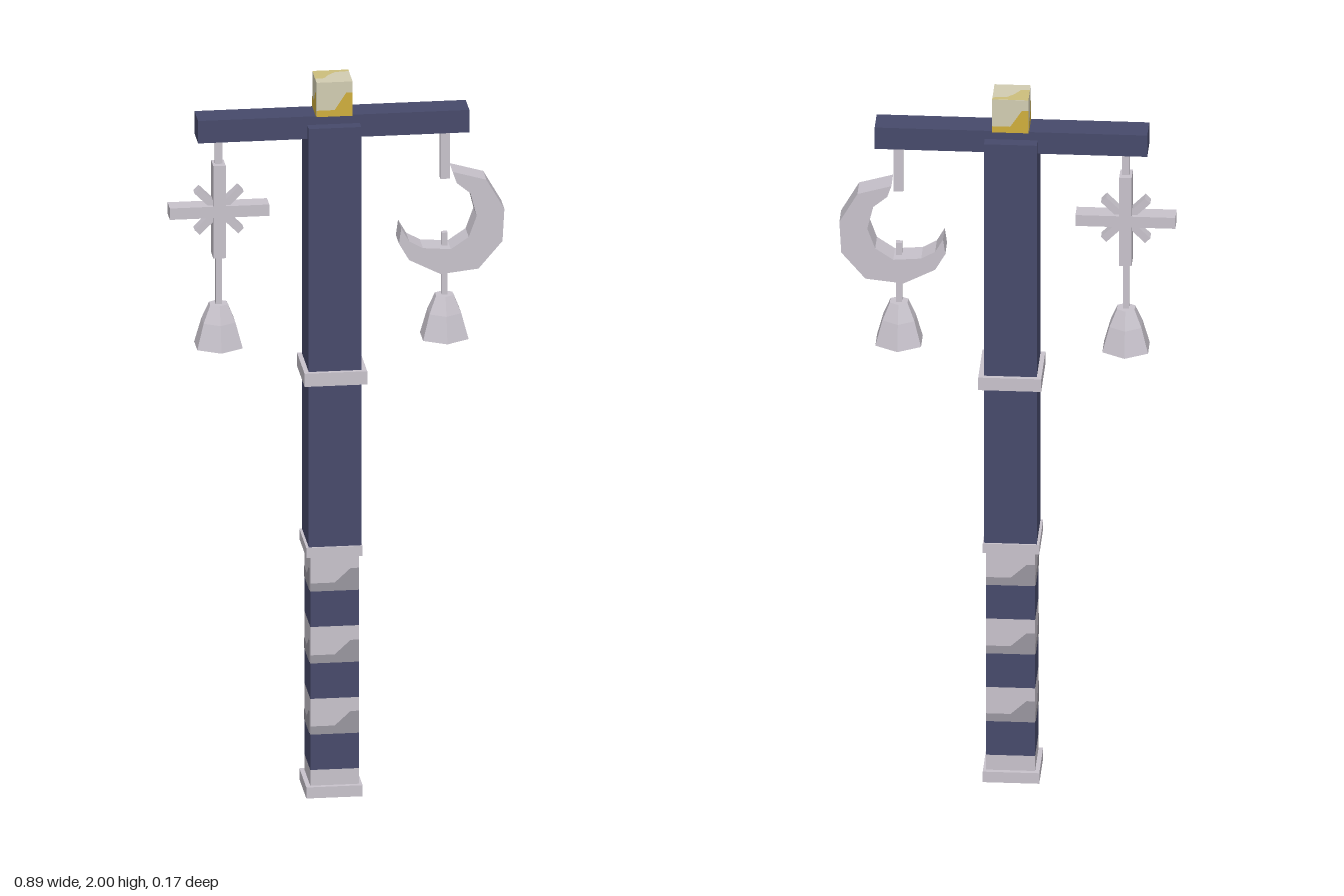
import * as THREE from 'three';

export function createModel() {
  const root = new THREE.Group();
  const mat = (name, color) => {
    const m = new THREE.MeshStandardMaterial({ color, flatShading: true });
    m.name = name;
    return m;
  };
  const navy = mat('navy', 0x474a6b);
  const silver = mat('silver', 0xc8c3cc);
  const grey = mat('shadedSilver', 0x99969f);
  const gold = mat('gold', 0xcfae3c);
  const pale = mat('paleGold', 0xd2cdb2);
  const straw = mat('straw', 0xcdbf7c);

  const CX = -0.014; // post axis
  function add(name, geo, material, x = 0, y = 0, z = 0, parent = root) {
    const m = new THREE.Mesh(geo, material);
    m.name = name;
    m.position.set(x, y, z);
    parent.add(m);
    return m;
  }
  // Box standing between two heights
  const block = (name, material, x, y0, y1, w, d, parent = root) =>
    add(name, new THREE.BoxGeometry(w, y1 - y0, d), material, x, (y0 + y1) / 2, 0, parent);
  const shapeOf = pts => new THREE.Shape(pts.map(p => new THREE.Vector2(...p)));

  // Painted stepped patch along the foot of each side of a square block
  function steppedPaint(name, material, x, y, w, d, heights) {
    heights.forEach(([a, b], i) => {
      const width = i % 2 ? d : w, h = width / 2;
      const pts = [[-h, 0], [h, 0], [h, b], [h * 0.65, b], [0, a], [-h, a]];
      const patch = new THREE.Group();
      patch.name = name + 'Side';
      patch.position.set(x, y, 0);
      patch.rotation.y = i * Math.PI / 2;
      root.add(patch);
      add(name, new THREE.ShapeGeometry(shapeOf(pts)), material, 0, 0, (i % 2 ? w : d) / 2 + 0.0015, patch);
    });
  }

  // Post: striped foot, then plain shaft
  const levels = [0.03, 0.075, 0.175, 0.275, 0.375, 0.477, 0.577, 0.68];
  for (let i = 0; i < levels.length - 1; i++) {
    const light = i % 2 === 0;
    block(light ? 'silverStripe' : 'navyStripe', light ? silver : navy, CX, levels[i], levels[i + 1], 0.13, 0.128);
    if (light && i > 0)
      steppedPaint('stripeShade', grey, CX, levels[i], 0.13, 0.128,
        [[0.023, 0.062], [0.062, 0.08], [0.023, 0.062], [0.03, 0.062]]);
  }
  block('shaft', navy, CX, 0.69, 1.88, 0.14, 0.143);

  // Base plate and collars
  block('basePlate', silver, -0.016, 0, 0.031, 0.15, 0.154);
  block('lowerCollar', silver, -0.016, 0.676, 0.704, 0.15, 0.154);
  block('upperCollar', silver, -0.013, 1.16, 1.197, 0.167, 0.168);

  // Crossbar and gilded cap
  block('crossbar', navy, -0.0135, 1.841, 1.904, 0.723, 0.079);
  block('cap', pale, -0.012, 1.904, 2, 0.096, 0.092);
  steppedPaint('capGilding', gold, -0.012, 1.904, 0.096, 0.092,
    [[0.018, 0.066], [0.066, 0.07], [0.018, 0.066], [0.03, 0.066]]);
  const topPatch = shapeOf([[-0.048, 0.046], [0.048, 0.046], [0.048, 0.034], [0.01, 0.03],
    [-0.01, 0.01], [-0.024, -0.014], [-0.048, -0.016]]);
  add('capTopGilding', new THREE.ShapeGeometry(topPatch), straw, -0.012, 1.9995).rotation.x = -Math.PI / 2;
  root.getObjectByName('capTopGilding').position.y = 2.0008;

  // Six-sided bell with a hanging rod
  function bell(x, rodTop) {
    const g = new THREE.Group();
    g.name = 'bell';
    root.add(g);
    block('bellRod', silver, x, 1.37, rodTop, 0.016, 0.016, g);
    add('bellCrown', new THREE.CylinderGeometry(0.027, 0.049, 0.048, 6), silver, x, 1.352, 0, g);
    add('bellSkirt', new THREE.CylinderGeometry(0.049, 0.07, 0.07, 6), silver, x, 1.293, 0, g);
  }

  // Star ornament
  const SX = -0.316, SY = 1.64;
  block('starHanger', silver, SX, 1.76, 1.845, 0.02, 0.016);
  const star = new THREE.Group();
  star.name = 'star';
  star.position.set(SX, SY, 0);
  root.add(star);
  add('starArm', new THREE.BoxGeometry(0.265, 0.032, 0.05), silver, 0, 0, 0, star);
  add('starArm', new THREE.BoxGeometry(0.033, 0.26, 0.05), silver, 0, 0, 0, star);
  for (const s of [1, -1])
    add('starRay', new THREE.BoxGeometry(0.165, 0.02, 0.03), silver, 0, 0, 0, star).rotation.z = s * Math.PI / 4;
  bell(SX, 1.52);

  // Crescent ornament
  const moon = [[0.304, 1.73], [0.394, 1.704], [0.442, 1.62], [0.437, 1.53], [0.373, 1.455],
    [0.272, 1.444], [0.188, 1.487], [0.161, 1.534], [0.167, 1.577], [0.188, 1.54], [0.225, 1.519],
    [0.299, 1.513], [0.347, 1.545], [0.368, 1.603], [0.352, 1.667], [0.315, 1.698]];
  add('crescent', new THREE.ExtrudeGeometry(shapeOf(moon), { depth: 0.07, bevelEnabled: false }), silver, 0, 0, -0.035);
  block('crescentHanger', silver, 0.287, 1.702, 1.845, 0.025, 0.018);
  bell(0.286, 1.55);

  return root;
}
